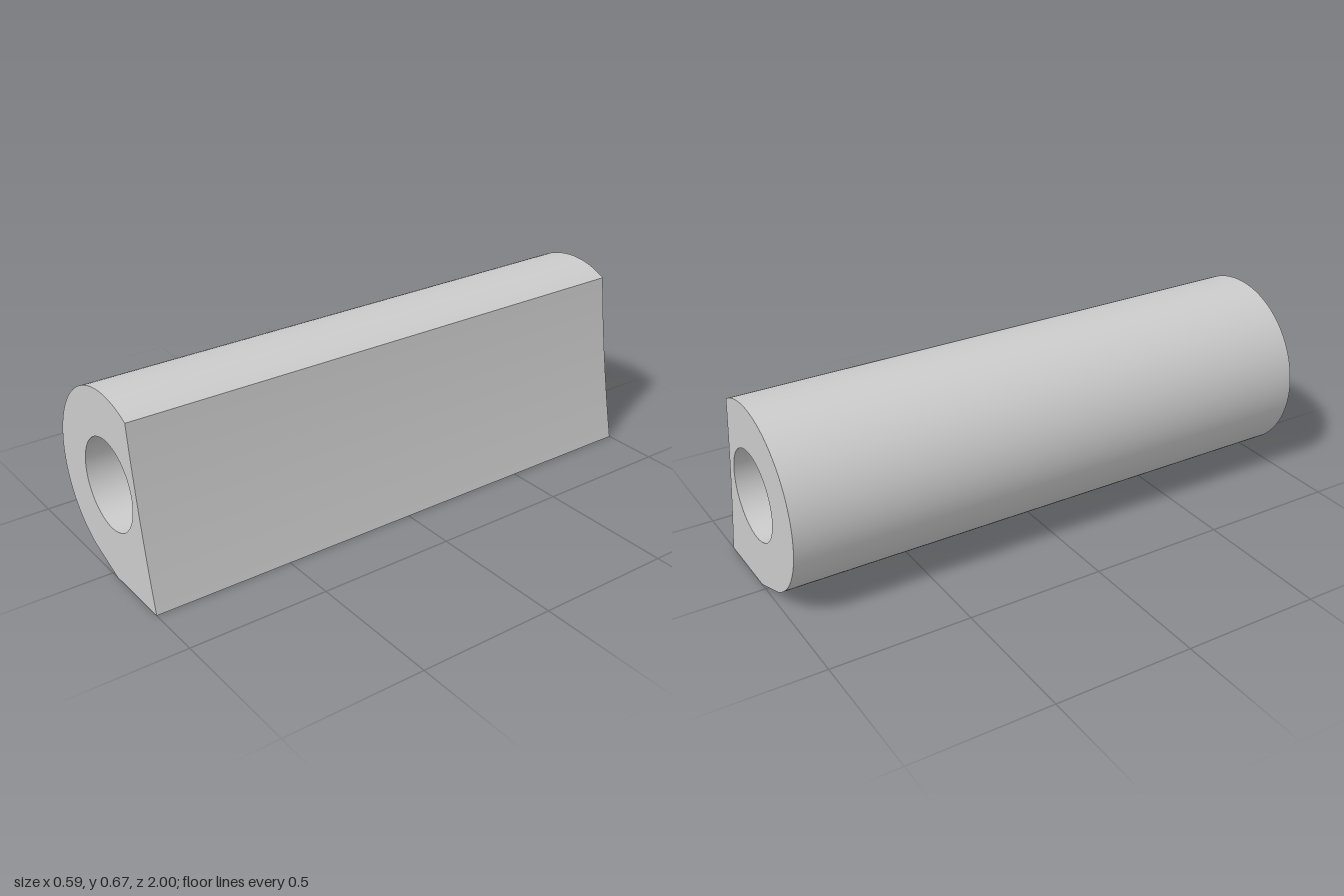
import * as THREE from 'three';
import { toCreasedNormals } from 'three/addons/utils/BufferGeometryUtils.js';

const LENGTH = 2;
const CX = 0.03, CY = 0.346; // bore axis
const OUTER_R = 0.325, BORE_R = 0.16;

export function createModel() {
  const group = new THREE.Group();
  group.name = 'boredRail';

  // Round back, flat foot and a slightly hollow front flank
  const start = THREE.MathUtils.degToRad(61);
  const end = THREE.MathUtils.degToRad(243);
  const topX = CX + OUTER_R * Math.cos(start);
  const topY = CY + OUTER_R * Math.sin(start);
  const profile = new THREE.Shape();
  profile.moveTo(topX, topY);
  profile.absarc(CX, CY, OUTER_R, start, end, false);
  profile.lineTo(CX, 0);
  profile.lineTo(0.295, 0);
  profile.quadraticCurveTo(0.223, 0.325, topX, topY);

  // Through bore
  const bore = new THREE.Path();
  bore.absarc(CX, CY, BORE_R, 0, Math.PI * 2, true);
  profile.holes.push(bore);

  const extruded = new THREE.ExtrudeGeometry(profile, {
    depth: LENGTH, bevelEnabled: false, curveSegments: 24,
  });
  extruded.translate(0, 0, -LENGTH / 2);

  const body = new THREE.Mesh(
    toCreasedNormals(extruded, 0.35),
    new THREE.MeshStandardMaterial({ color: 0xcccccc }),
  );
  body.name = 'railBody';
  group.add(body);
  return group;
}
